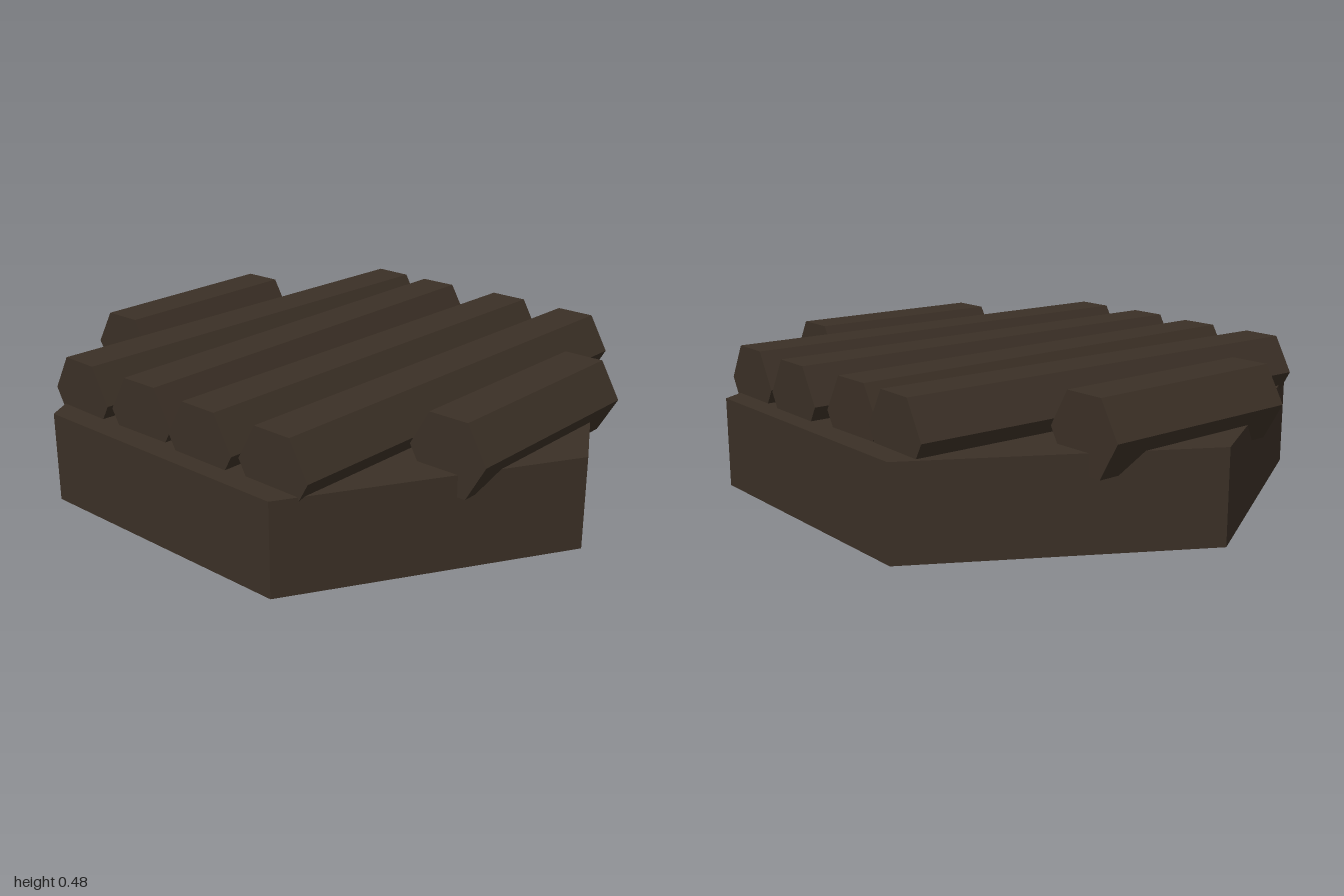
import * as THREE from 'three';

export function createModel() {
  const model = new THREE.Group();
  model.name = 'logTile';
  const wood = new THREE.MeshStandardMaterial({ color: 0x3b3026, flatShading: true });
  wood.name = 'darkBrown';

  // Hexagonal base with corners toward the front and back
  const baseHeight = 0.31;
  const base = new THREE.Mesh(new THREE.CylinderGeometry(1, 1, baseHeight, 6), wood);
  base.name = 'base';
  base.position.y = baseHeight / 2;
  model.add(base);

  // Six-sided logs lying across the base: [centre z, length, slight yaw]
  const logs = [
    [0.745, 0.74, 0],
    [0.447, 1.58, -0.007],
    [0.146, 1.6, -0.004],
    [-0.165, 1.565, 0.02],
    [-0.433, 1.57, -0.022],
    [-0.757, 0.735, 0.02],
  ];
  logs.forEach(([z, length, yaw], i) => {
    const geometry = new THREE.CylinderGeometry(0.14, 0.14, length, 6).rotateZ(Math.PI / 2);
    const log = new THREE.Mesh(geometry, wood);
    log.name = `log${i + 1}`;
    log.position.set(0, 0.36, z);
    log.rotation.y = yaw;
    model.add(log);
  });

  return model;
}
